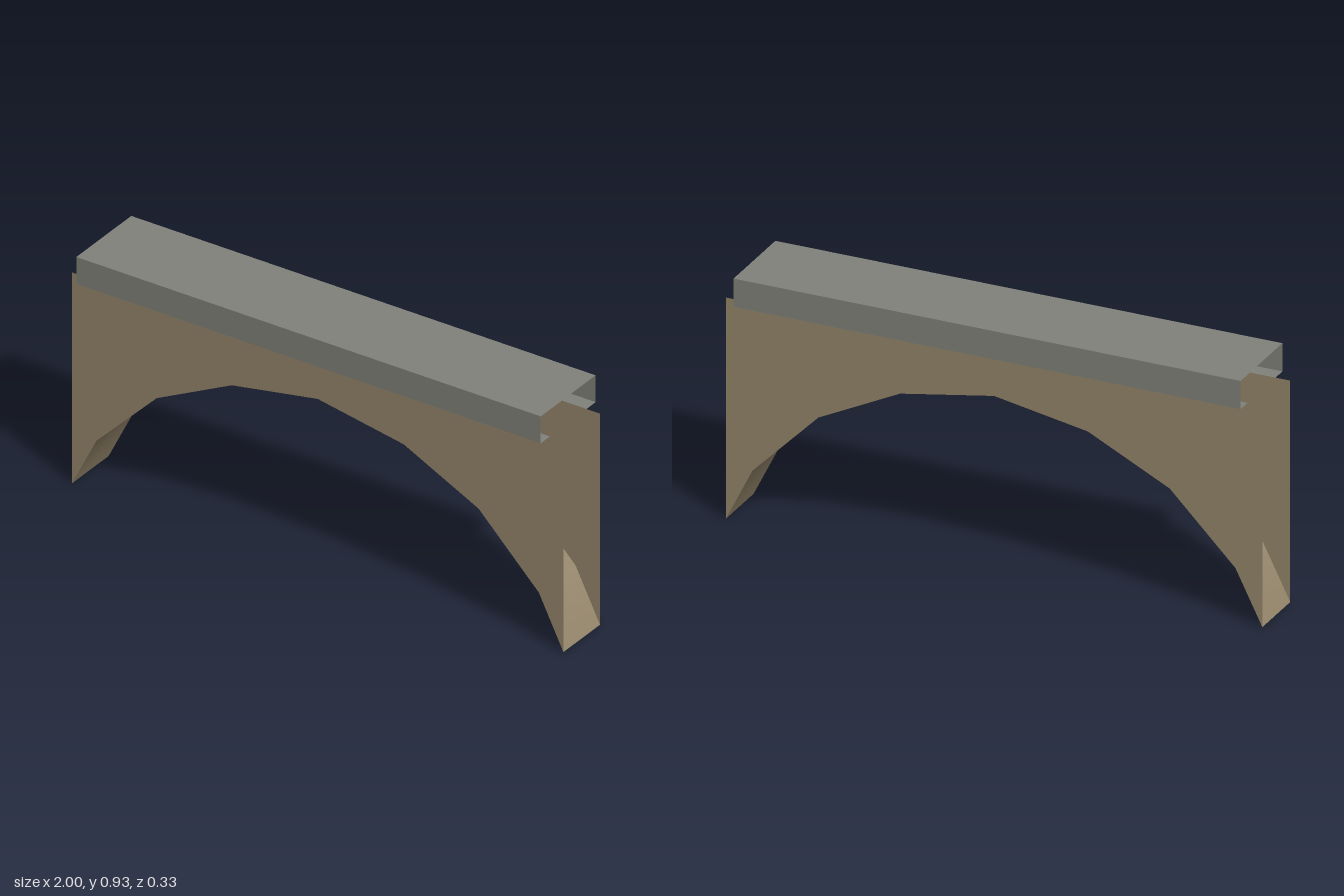
import * as THREE from 'three';

export function createModel() {
  const group = new THREE.Group();
  group.name = 'archBridge';
  const stone = new THREE.MeshStandardMaterial({ color: 0x94856a, side: THREE.DoubleSide });
  stone.name = 'brownStone';
  const slab = new THREE.MeshStandardMaterial({ color: 0x80817a, side: THREE.DoubleSide });
  slab.name = 'greyDeck';

  const wallZ = 0.11, wallTop = 0.825, deckX = 0.945, deckZ = 0.165, deckTop = 0.93;

  // Arch line from the right foot over the crown to the left foot
  const half = [[1, 0], [0.9, 0.2], [0.655, 0.447], [0.35, 0.598]];
  const arch = [...half, [0, 0.66], ...half.map(([x, y]) => [-x, y]).reverse()];

  // Open sheet swept from a cross-section, joining two rows of points
  function sheet(name, rowA, rowB, material, smooth) {
    const geometry = new THREE.BufferGeometry();
    const n = rowA.length, index = [];
    for (let i = 0; i < n - 1; i++) index.push(i, n + i, i + 1, i + 1, n + i, n + i + 1);
    geometry.setAttribute('position', new THREE.Float32BufferAttribute([...rowA, ...rowB].flat(), 3));
    geometry.setIndex(index);
    const finished = smooth ? geometry : geometry.toNonIndexed();
    finished.computeVertexNormals();
    const mesh = new THREE.Mesh(finished, material);
    mesh.name = name;
    group.add(mesh);
  }

  // Thin side walls with the arch cut out below
  const outline = [[-1, wallTop], [1, wallTop], ...arch].map(([x, y]) => new THREE.Vector2(x, y));
  const wallShape = new THREE.Shape(outline);
  for (const side of [1, -1]) {
    const wall = new THREE.Mesh(new THREE.ShapeGeometry(wallShape), stone);
    wall.name = side > 0 ? 'frontWall' : 'backWall';
    wall.position.z = side * wallZ;
    if (side < 0) wall.rotation.y = Math.PI;
    group.add(wall);
  }

  // Smoothly shaded underside of the arch
  sheet('archUnderside',
    arch.map(([x, y]) => [x, y, wallZ]),
    arch.map(([x, y]) => [x, y, -wallZ]), stone, true);

  // Deck: top plate, side faces and lips that rest on the walls, open at both ends
  const section = [[wallZ, wallTop], [deckZ, wallTop], [deckZ, deckTop],
    [-deckZ, deckTop], [-deckZ, wallTop], [-wallZ, wallTop]];
  sheet('deck',
    section.map(([z, y]) => [-deckX, y, z]),
    section.map(([z, y]) => [deckX, y, z]), slab, false);

  return group;
}
